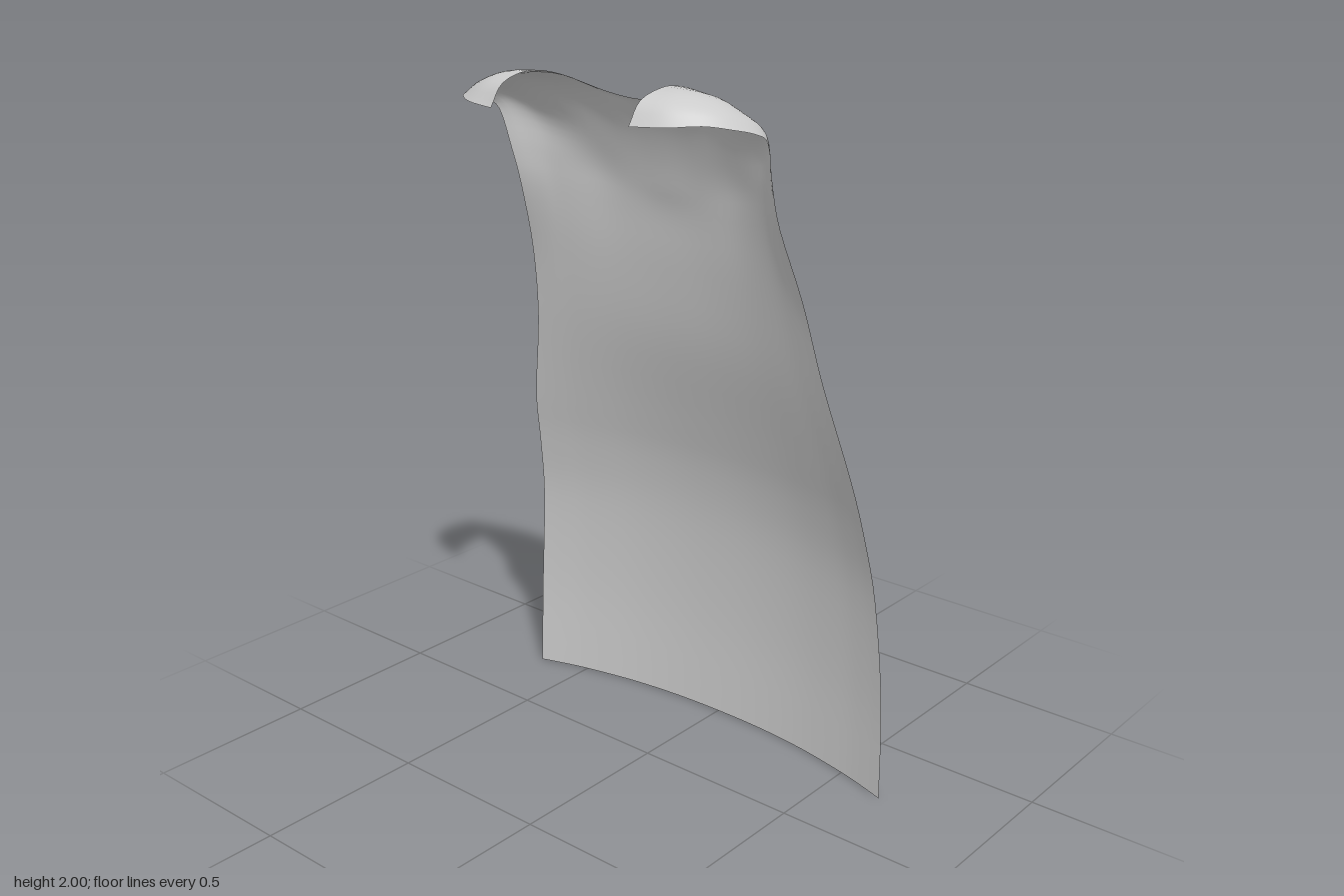
import * as THREE from 'three';

// Hanging cloth, hem upward: [height, half width, z at centre back, z at side edge]
const DRAPE = [
  [0, 0.66, -0.34, -0.235],
  [0.3, 0.65, -0.34, -0.238],
  [0.6, 0.623, -0.322, -0.225],
  [0.8, 0.6, -0.29, -0.19],
  [0.97, 0.575, -0.243, -0.15],
  [1.23, 0.51, -0.165, -0.1],
  [1.45, 0.475, -0.122, -0.05],
];
const ACROSS = [0, 0.25, 0.5, 0.75, 0.9, 1];

// Rows fanning over the shoulder, centre back to outer edge; the last row is the neckline
const SHOULDER = [
  [[0, 1.6, -0.1], [0.12, 1.605, -0.095], [0.24, 1.62, -0.08], [0.35, 1.635, -0.045], [0.403, 1.642, -0.015], [0.447, 1.65, 0.02]],
  [[0, 1.68, -0.08], [0.12, 1.69, -0.078], [0.24, 1.72, -0.065], [0.35, 1.74, -0.025], [0.405, 1.752, 0.01], [0.447, 1.76, 0.055]],
  [[0, 1.75, -0.062], [0.11, 1.765, -0.057], [0.23, 1.81, -0.035], [0.36, 1.84, 0], [0.42, 1.86, 0.04], [0.455, 1.87, 0.09]],
  [[0, 1.81, -0.042], [0.11, 1.83, -0.033], [0.23, 1.885, 0], [0.36, 1.915, 0.06], [0.428, 1.918, 0.095], [0.46, 1.9, 0.14]],
  [[0, 1.86, -0.02], [0.115, 1.88, -0.008], [0.225, 1.935, 0.035], [0.345, 1.968, 0.12], [0.41, 1.952, 0.175], [0.44, 1.92, 0.22]],
  [[0, 1.9, 0.005], [0.115, 1.915, 0.012], [0.22, 1.965, 0.065], [0.31, 1.99, 0.17], [0.372, 1.968, 0.232], [0.4, 1.93, 0.275]],
  [[0, 1.92, 0.02], [0.115, 1.932, 0.022], [0.215, 1.98, 0.09], [0.275, 1.998, 0.2], [0.31, 1.975, 0.275], [0.33, 1.925, 0.32]],
  [[0, 1.93, 0.03], [0.11, 1.94, 0.032], [0.205, 1.985, 0.11], [0.228, 2, 0.2], [0.23, 1.978, 0.295], [0.23, 1.92, 0.34]],
];

const smooth = (points) => new THREE.CatmullRomCurve3(points, false, 'catmullrom', 0.5);

// Mirrors a half row into a full one running from the left edge (+x) to the right
function fullRow(half) {
  const left = half.map((p) => new THREE.Vector3(...p));
  const right = left.slice(1).map((p) => new THREE.Vector3(-p.x, p.y, p.z));
  return [...left.reverse(), ...right];
}

function capeGeometry(across, along) {
  const drape = DRAPE.map(([y, w, zMid, zEdge]) =>
    ACROSS.map((u) => [w * u, y, zMid + (zEdge - zMid) * u ** 2.2]));
  const rows = [...drape, ...SHOULDER].map(fullRow);
  const columns = rows[0].map((_, i) => smooth(rows.map((row) => row[i])));

  // Bend a plane grid over the cross-sections, neckline first
  const geometry = new THREE.PlaneGeometry(1, 1, across, along);
  const position = geometry.attributes.position;
  for (let j = 0; j <= along; j++) {
    const section = smooth(columns.map((c) => c.getPoint(1 - j / along)));
    for (let i = 0; i <= across; i++) {
      const p = section.getPoint(i / across);
      position.setXYZ(j * (across + 1) + i, p.x, p.y, p.z);
    }
  }
  geometry.computeVertexNormals();
  return geometry;
}

export function createModel() {
  const group = new THREE.Group();
  group.name = 'cape';
  const material = new THREE.MeshStandardMaterial({ color: 0xcccccc, side: THREE.DoubleSide });
  const cloth = new THREE.Mesh(capeGeometry(40, 56), material);
  cloth.name = 'capeCloth';
  group.add(cloth);
  return group;
}
